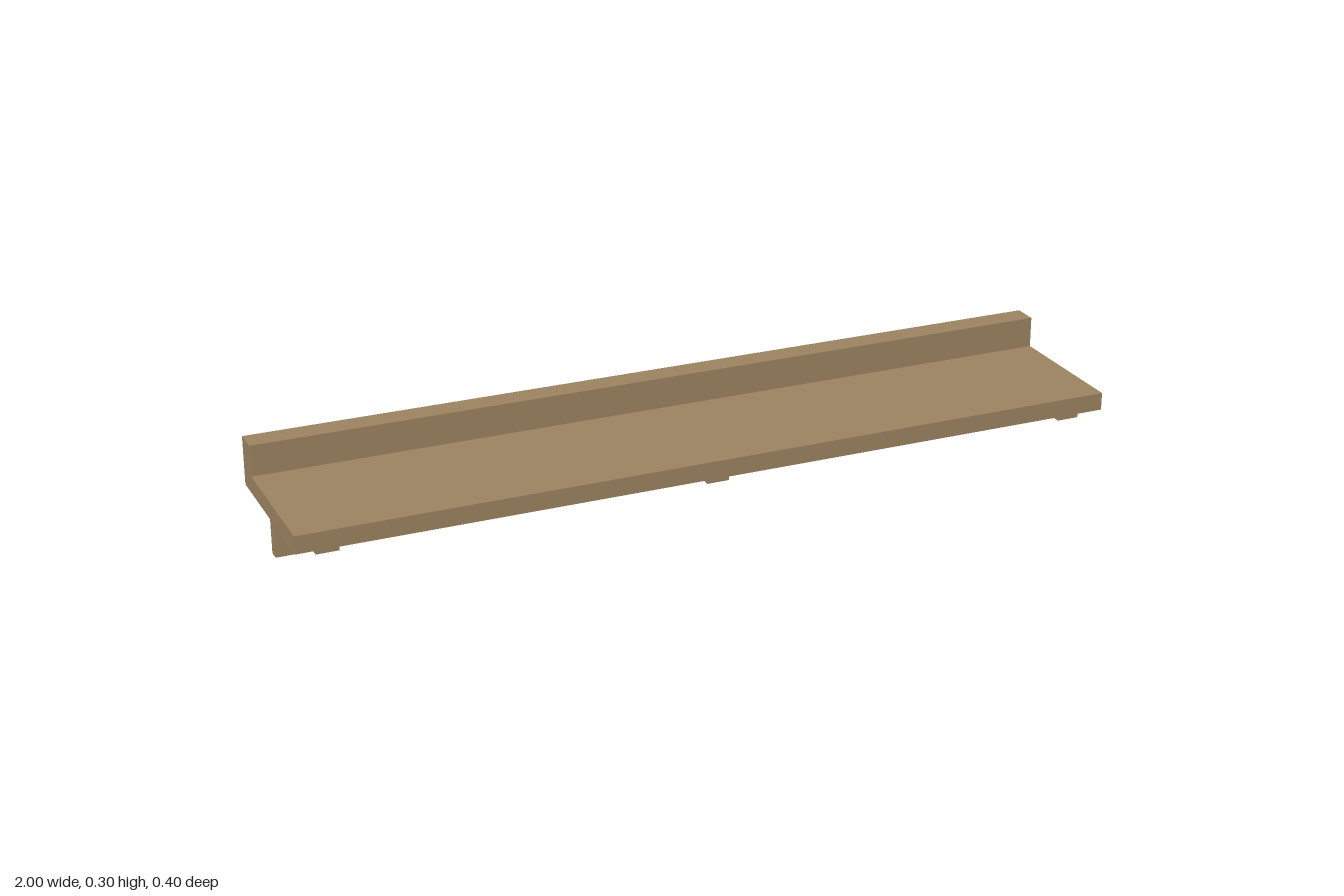
import * as THREE from 'three';

// Extrude a side profile of [z, y] points along x, centred on x = 0
function extrudeAlongX(profile, width) {
  const shape = new THREE.Shape(profile.map(([z, y]) => new THREE.Vector2(z, y)));
  const geometry = new THREE.ExtrudeGeometry(shape, { depth: width, bevelEnabled: false });
  geometry.translate(0, 0, -width / 2);
  geometry.rotateY(-Math.PI / 2); // profile x becomes model z
  return geometry;
}

export function createModel() {
  const model = new THREE.Group();
  model.name = 'shelf';

  const wood = new THREE.MeshStandardMaterial({ color: 0x9b825f });
  wood.name = 'wood';

  // Shelf board with a raised rail along its back edge
  const board = new THREE.Mesh(
    extrudeAlongX([
      [-0.2, 0.182], [0.2, 0.182], [0.2, 0.225],
      [-0.14, 0.225], [-0.14, 0.3], [-0.2, 0.3],
    ], 2),
    wood
  );
  board.name = 'shelfBoard';
  model.add(board);

  // L-shaped brackets: an arm under the board and a leg at the back
  const bracketGeometry = extrudeAlongX([
    [-0.2, 0], [-0.173, 0], [-0.173, 0.162],
    [0.177, 0.162], [0.177, 0.182], [-0.2, 0.182],
  ], 0.054);
  const brackets = { rightBracket: -0.922, middleBracket: 0, leftBracket: 0.922 };
  for (const [name, x] of Object.entries(brackets)) {
    const bracket = new THREE.Mesh(bracketGeometry, wood);
    bracket.name = name;
    bracket.position.x = x;
    model.add(bracket);
  }

  return model;
}
